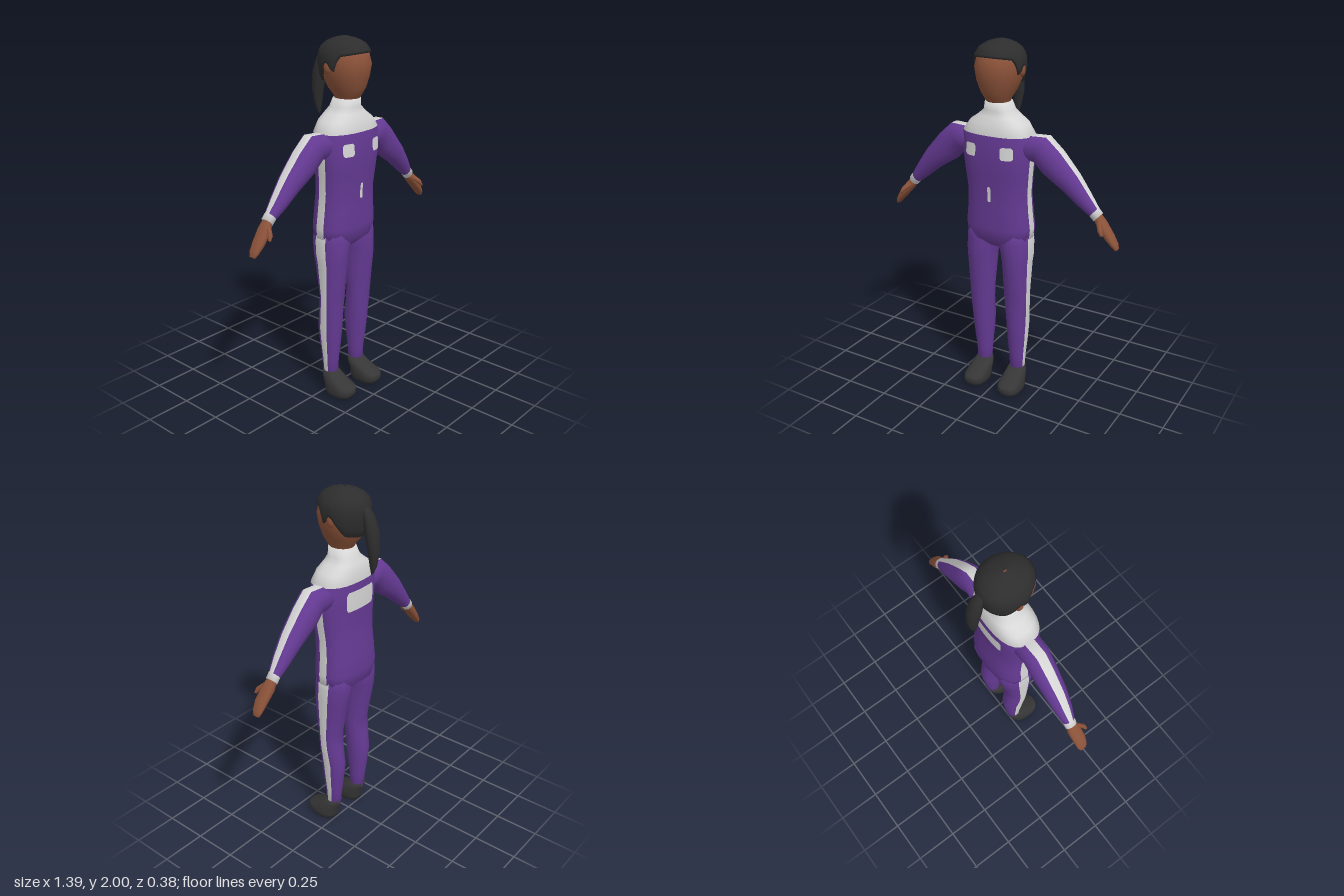
import * as THREE from 'three';

const material = (name, color, side = THREE.FrontSide) => {
  const m = new THREE.MeshStandardMaterial({ color, side });
  m.name = name;
  return m;
};

// Skin a grid of points; paint(i, j) picks the material of each face
function grid(name, rows, cols, point, mats, { wrap = true, caps = true, paint = () => 0, flip = false } = {}) {
  const pos = [], buckets = mats.map(() => []);
  for (let i = 0; i < rows; i++) for (let j = 0; j < cols; j++) pos.push(...point(i, j));
  const tri = (m, a, b, c) => buckets[m].push(...(flip ? [a, c, b] : [a, b, c]));
  const span = wrap ? cols : cols - 1;
  for (let i = 0; i < rows - 1; i++) for (let j = 0; j < span; j++) {
    const k = (j + 1) % cols, m = paint(i, j);
    const a = i * cols + j, b = i * cols + k, d = a + cols, c = b + cols;
    tri(m, a, b, d);
    tri(m, b, c, d);
  }
  if (wrap && caps) for (const i of [0, rows - 1]) {
    const centre = [0, 0, 0], id = pos.length / 3, m = paint(Math.min(i, rows - 2), 1);
    for (let j = 0; j < cols; j++) for (let q = 0; q < 3; q++) centre[q] += pos[(i * cols + j) * 3 + q] / cols;
    pos.push(...centre);
    for (let j = 0; j < cols; j++) {
      const a = i * cols + j, b = i * cols + (j + 1) % cols;
      if (i === 0) tri(m, id, b, a); else tri(m, id, a, b);
    }
  }
  const g = new THREE.BufferGeometry();
  g.setAttribute('position', new THREE.Float32BufferAttribute(pos, 3));
  g.setIndex(buckets.flat());
  let start = 0;
  buckets.forEach((b, m) => { g.addGroup(start, b.length, m); start += b.length; });
  g.computeVertexNormals();
  const mesh = new THREE.Mesh(g, mats.length > 1 ? mats : mats[0]);
  mesh.name = name;
  return mesh;
}

// Ring angles: a narrow stripe face at angle 0 (and at the far side if both)
function ringAngles(h, k, both = false) {
  const out = [-h], end = both ? Math.PI - h : 2 * Math.PI - h;
  for (let j = 0; j < k; j++) out.push(h + (end - h) * j / k);
  if (both) for (let j = 0; j < k; j++) out.push(Math.PI - h + (j === 0 ? 0 : 2 * h + (Math.PI - 2 * h) * j / k));
  if (both) out.splice(k + 2, 0, Math.PI + h);
  return out;
}

const bow = (t, p) => Math.sign(t) * Math.abs(t) ** (2 / p);

// Loft through sections [x, y, z, radiusU, radiusZ, tilt]
function loft(name, sections, angles, mats, { side = 1, p = 2, paint } = {}) {
  return grid(name, sections.length, angles.length, (i, j) => {
    const [x, y, z, ru, rv, tilt = 0] = sections[i];
    const u = ru * bow(Math.cos(angles[j]), p), v = rv * bow(Math.sin(angles[j]), p);
    return [side * (x + u * Math.cos(tilt)), y + u * Math.sin(tilt), z + v];
  }, mats, { paint, flip: side < 0 });
}

// Piecewise linear lookup in rows sorted by their first entry
function lookup(table, t, col = 1) {
  let i = 0;
  while (i < table.length - 2 && t > table[i + 1][0]) i++;
  const a = table[i], b = table[i + 1];
  return a[col] + (b[col] - a[col]) * THREE.MathUtils.clamp((t - a[0]) / (b[0] - a[0]), 0, 1);
}

export function createModel() {
  const purple = material('suit purple', 0x653a94);
  const white = material('suit white', 0xd6d6d6, THREE.DoubleSide);
  const skin = material('skin brown', 0x8b5239);
  const black = material('hair black', 0x2d2d2d, THREE.DoubleSide);
  const shoe = material('shoe charcoal', 0x363636);
  const suit = [purple, white];
  const model = new THREE.Group();
  model.name = 'figure';
  const round = ringAngles(0.2, 15);

  // Torso with white yoke and side stripes
  const torso = [
    [0, 1.685, 0.04, 0.068, 0.068], [0, 1.64, 0.03, 0.08, 0.076], [0, 1.61, 0.027, 0.112, 0.092],
    [0, 1.575, 0.03, 0.162, 0.108], [0, 1.52, 0.034, 0.2, 0.119], [0, 1.4, 0.038, 0.2, 0.122],
    [0, 1.3, 0.035, 0.19, 0.115], [0, 1.2, 0.028, 0.18, 0.112], [0, 1.1, 0.022, 0.184, 0.118],
    [0, 1.0, 0.02, 0.195, 0.12], [0, 0.93, 0.02, 0.188, 0.114], [0, 0.88, 0.02, 0.1, 0.06],
  ];
  const P = 2.5, K = 12;
  model.add(loft('torso', torso, ringAngles(0.14, K, true), suit, {
    p: P, paint: (i, j) => (i < 4 || j === 0 || j === K + 1 ? 1 : 0),
  }));

  // Patches that follow the torso surface
  const byHeight = torso.map(([, y, z, rx, rz]) => [y, z, rx, rz]).reverse();
  const patch = (name, cx, cy, w, h, front, inset) => {
    const n = 8, fy = [1, 0.7, 0.25, -0.25, -0.7, -1];
    model.add(grid(name, fy.length, n + 1, (i, j) => {
      const half = w / 2 - (Math.abs(fy[i]) === 1 ? inset : 0);
      const x = cx + front * half * (1 - 2 * j / n), y = cy + fy[i] * h / 2;
      const [z, rx, rz] = [1, 2, 3].map(c => lookup(byHeight, y, c));
      return [x, y, z + front * (rz * (1 - Math.abs(x / rx) ** P) ** (1 / P) + 0.004)];
    }, [white], { wrap: false }));
  };
  patch('leftChestPatch', 0.107, 1.437, 0.068, 0.068, 1, 0.01);
  patch('rightChestPatch', -0.107, 1.437, 0.068, 0.068, 1, 0.01);
  patch('zipPull', 0, 1.2, 0.02, 0.085, 1, 0.003);
  patch('backPatch', 0, 1.425, 0.21, 0.11, -1, 0.01);

  // Limbs, mirrored
  const leg = [
    [0.1, 1.0, 0.02, 0.088, 0.1], [0.1, 0.92, 0.02, 0.095, 0.108], [0.107, 0.85, 0.024, 0.09, 0.102],
    [0.11, 0.8, 0.028, 0.082, 0.097], [0.111, 0.6, 0.035, 0.075, 0.065], [0.113, 0.52, 0.03, 0.071, 0.065],
    [0.111, 0.4, 0.018, 0.063, 0.072], [0.11, 0.3, 0.018, 0.056, 0.062], [0.109, 0.2, 0.018, 0.047, 0.048],
    [0.109, 0.1, 0.02, 0.042, 0.04],
  ];
  const foot = [
    [0.109, 0.13, 0.018, 0.044, 0.04], [0.11, 0.1, 0.035, 0.056, 0.054], [0.112, 0.058, 0.092, 0.066, 0.095],
    [0.113, 0.025, 0.096, 0.068, 0.095], [0.113, 0, 0.09, 0.058, 0.082],
  ];
  const arm = [
    [0.14, 1.46, 0.03, 0.068, 0.075, 1.5], [0.25, 1.46, 0.03, 0.085, 0.07, 1.1],
    [0.32, 1.395, 0.028, 0.085, 0.068, 0.95], [0.425, 1.305, 0.027, 0.064, 0.06, 0.95],
    [0.5, 1.225, 0.025, 0.047, 0.048, 0.9], [0.552, 1.17, 0.022, 0.033, 0.033, 0.85],
    [0.575, 1.145, 0.021, 0.032, 0.033, 0.85],
  ];
  const hand = [
    [0.565, 1.155, 0.02, 0.022, 0.026, 0.85], [0.6, 1.11, 0.025, 0.026, 0.037, 0.75],
    [0.645, 1.055, 0.03, 0.022, 0.036, 0.6], [0.675, 1.015, 0.029, 0.015, 0.03, 0.5],
    [0.688, 0.992, 0.028, 0.008, 0.02, 0.5],
  ];
  const thumb = [
    [0.588, 1.13, 0.045, 0.014, 0.014, 0.6], [0.61, 1.1, 0.078, 0.014, 0.014, 0.6],
    [0.626, 1.075, 0.088, 0.008, 0.008, 0.6],
  ];
  for (const side of [1, -1]) {
    const tag = side > 0 ? 'left' : 'right';
    const part = (label, sections, angles, mats, options) =>
      model.add(loft(tag + label, sections, angles, mats, { side, ...options }));
    part('Leg', leg, ringAngles(0.33, 13), suit, { paint: (i, j) => (j === 0 ? 1 : 0) });
    part('Shoe', foot, round, [shoe], { p: 2.5 });
    part('Arm', arm, ringAngles(0.38, 13), suit, { paint: (i, j) => (j === 0 || i === 5 ? 1 : 0) });
    part('Hand', hand, round, [skin], { p: 2.4 });
    part('Thumb', thumb, ringAngles(0.4, 7), [skin]);

    const ear = new THREE.Mesh(new THREE.SphereGeometry(1, 10, 8), skin);
    ear.name = tag + 'Ear';
    ear.scale.set(0.016, 0.034, 0.022);
    ear.position.set(side * 0.122, 1.85, 0.015);
    model.add(ear);
  }

  // Head and neck
  model.add(loft('head', [
    [0, 1.965, 0.03, 0.07, 0.08], [0, 1.92, 0.035, 0.11, 0.12], [0, 1.86, 0.038, 0.122, 0.134],
    [0, 1.8, 0.035, 0.114, 0.127], [0, 1.74, 0.04, 0.09, 0.105], [0, 1.7, 0.045, 0.067, 0.077],
    [0, 1.675, 0.04, 0.058, 0.06], [0, 1.65, 0.035, 0.055, 0.055],
  ], ringAngles(0.15, 19), [skin], { p: 2.1 }));

  // Hair cap: hairline height depends on how far forward the angle points
  const hairline = [[-1, 1.765], [-0.6, 1.775], [-0.3, 1.835], [-0.12, 1.87], [0.08, 1.87],
    [0.16, 1.83], [0.3, 1.83], [0.42, 1.905], [1, 1.922]];
  const cap = [[1.76, 0.11, 0.115], [1.8, 0.125, 0.13], [1.86, 0.135, 0.14], [1.92, 0.13, 0.14],
    [1.96, 0.103, 0.118], [1.985, 0.062, 0.072], [2, 0.004, 0.005]];
  const rows = 10, cols = 48;
  model.add(grid('hair', rows + 1, cols, (i, j) => {
    const a = j / cols * 2 * Math.PI, s = Math.sin(a);
    const t = Math.min(i / (rows - 1), 1), tuck = i === rows ? 0.88 : 1;
    const y = 2 - (2 - lookup(hairline, s)) * t ** 1.4;
    const cz = 0.022 + 0.008 * Math.max(s, 0);
    return [tuck * lookup(cap, y, 1) * Math.cos(a), y, cz + tuck * lookup(cap, y, 2) * s];
  }, [black], { caps: false }));

  // Ponytail
  model.add(loft('ponytail', [
    [0, 1.915, -0.112, 0.02, 0.012], [0, 1.88, -0.13, 0.034, 0.026], [0, 1.8, -0.15, 0.041, 0.038],
    [0, 1.7, -0.164, 0.035, 0.03], [0, 1.62, -0.162, 0.02, 0.018], [0, 1.575, -0.155, 0.006, 0.005],
  ], ringAngles(0.3, 9), [black]));

  return model;
}
